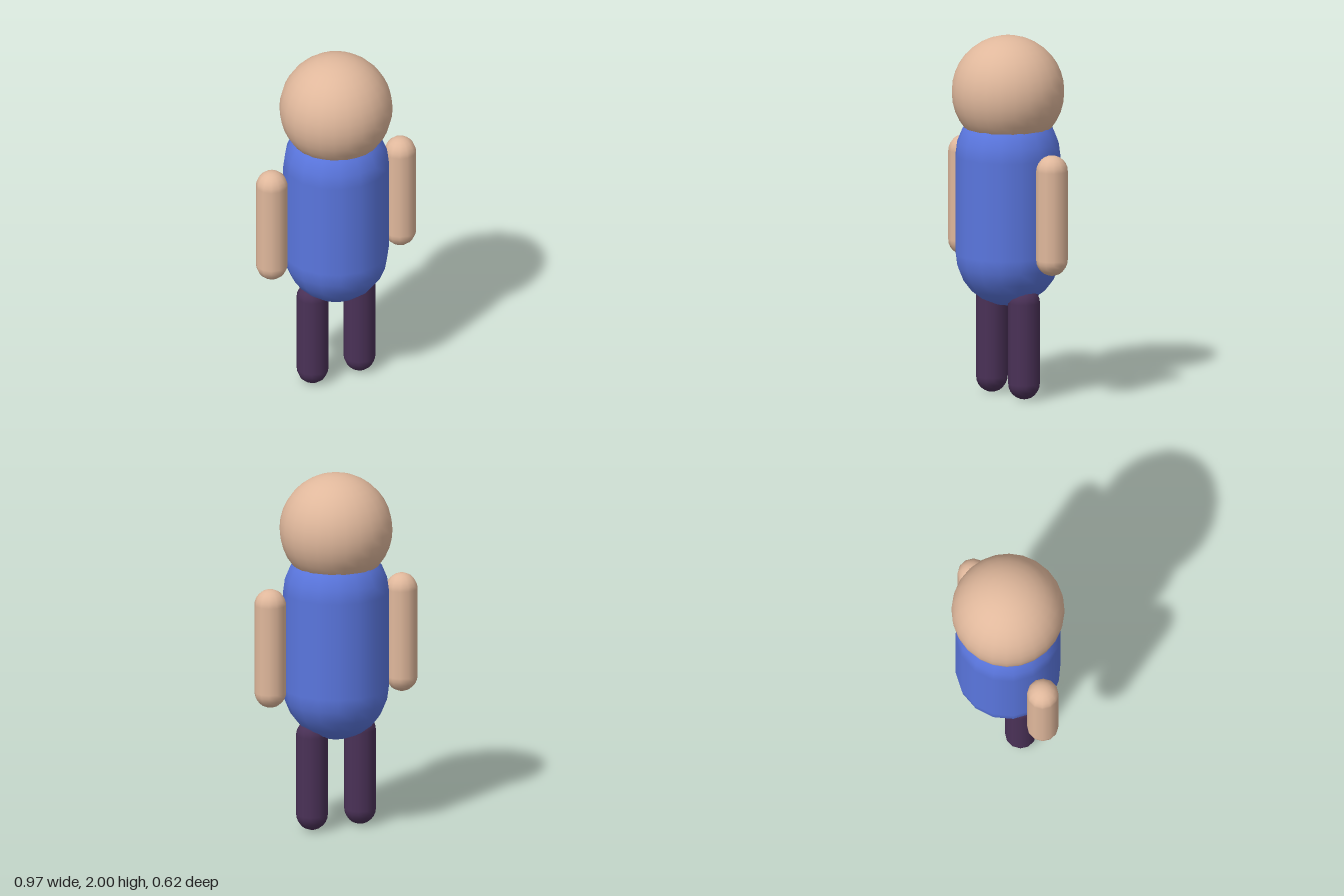
import * as THREE from 'three';

export function createModel() {
  const model = new THREE.Group();
  const material = (name, color) => {
    const m = new THREE.MeshStandardMaterial({ color });
    m.name = name;
    return m;
  };
  const skin = material('skin', 0xe0b89c);
  const shirt = material('blue shirt', 0x5a76de);
  const trousers = material('dark purple trousers', 0x4a3157);

  const add = (name, geometry, mat, x, y) => {
    const mesh = new THREE.Mesh(geometry, mat);
    mesh.name = name;
    mesh.position.set(x, y, 0);
    model.add(mesh);
  };
  // Upright capsule between two heights
  const capsule = (name, radius, bottom, top, sides, mat, x) =>
    add(name, new THREE.CapsuleGeometry(radius, top - bottom - 2 * radius, 6, sides), mat, x, (top + bottom) / 2);

  // Head and body
  add('head', new THREE.SphereGeometry(0.31, 24, 18), skin, 0, 1.69);
  capsule('torso', 0.29, 0.504, 1.626, 16, shirt, 0);

  // Paired limbs
  for (const [side, s] of [['left', 1], ['right', -1]]) {
    capsule(side + 'Arm', 0.0873, 0.724, 1.392, 12, skin, s * 0.398);
    capsule(side + 'Leg', 0.0873, 0, 0.623, 12, trousers, s * 0.1455);
  }
  return model;
}
